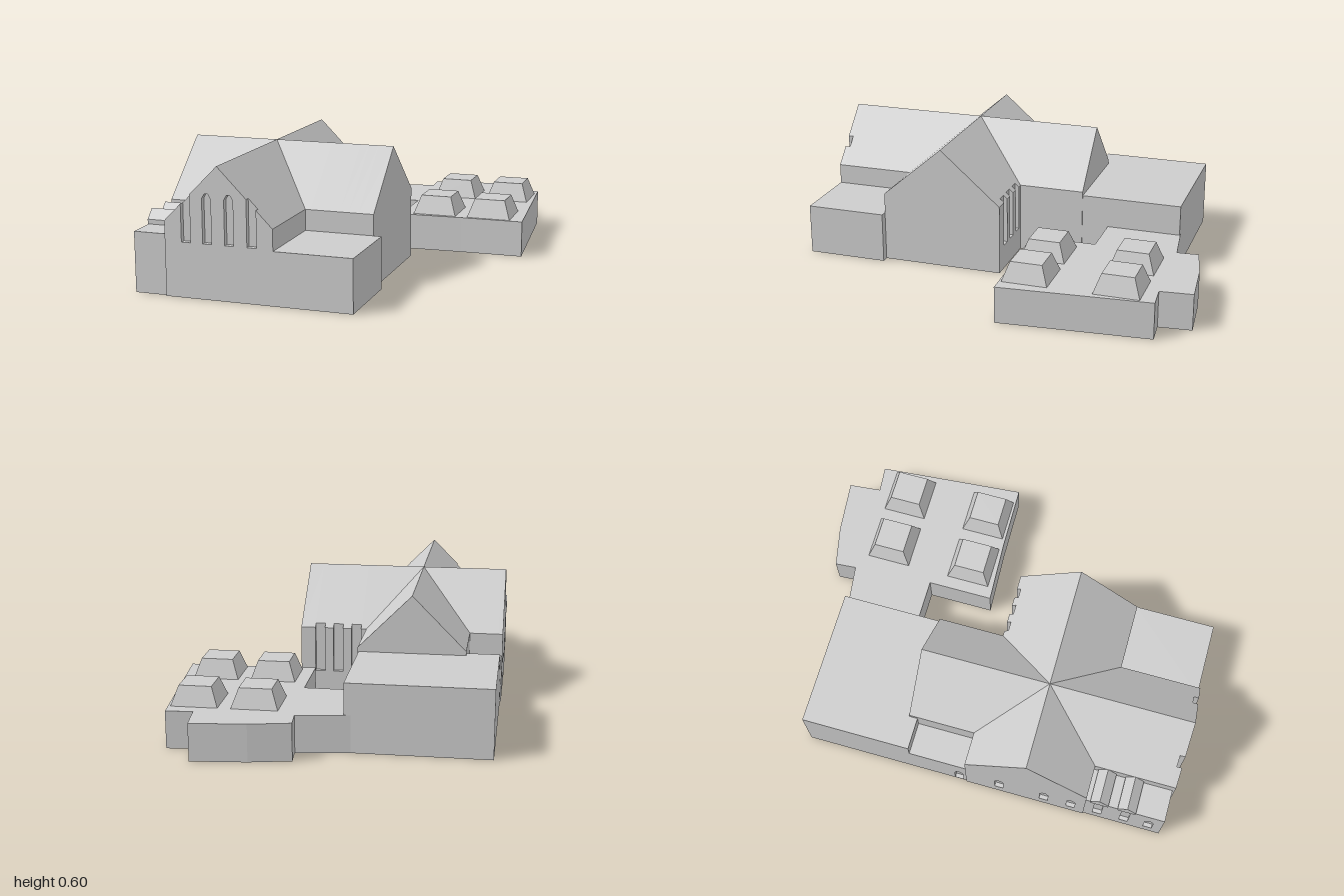
import * as THREE from 'three';

const stone = new THREE.MeshStandardMaterial({ color: 0xcccccc });
stone.name = 'plain stone';

const EAVES = 0.343, RIDGE = 0.6;
const toPoints = (pts) => pts.map(([a, b]) => new THREE.Vector2(a, b));

// Pointed-arch window outline, used as a hole
function windowOutline(center, bottom, top, half = 0.021, tip = 0.022) {
  return toPoints([
    [center - half, bottom], [center + half, bottom], [center + half, top - tip],
    [center + half * 0.4, top], [center - half * 0.4, top], [center - half, top - tip],
  ]);
}

function extrude(outline, holes, depth) {
  const shape = new THREE.Shape(toPoints(outline));
  holes.forEach((h) => shape.holes.push(new THREE.Path(h)));
  return new THREE.ExtrudeGeometry(shape, { depth, bevelEnabled: false });
}

export function createModel() {
  const group = new THREE.Group();
  const add = (name, geometry) => {
    const mesh = new THREE.Mesh(geometry, stone);
    mesh.name = name;
    group.add(mesh);
    return mesh;
  };
  // Outline in (x, y), running from z0 to z1
  const alongZ = (name, outline, z0, z1, holes = []) =>
    add(name, extrude(outline, holes, z1 - z0).translate(0, 0, z0));
  // Outline in (z, y), running from x0 to x1
  const alongX = (name, outline, x0, x1, holes = []) =>
    add(name, extrude(outline, holes, x1 - x0).rotateY(-Math.PI / 2).translate(x1, 0, 0));
  // Footprint in (x, z), rising from the ground
  const upright = (name, footprint, height) =>
    add(name, extrude(footprint.map(([x, z]) => [x, -z]), [], height).rotateX(-Math.PI / 2));
  const box = (name, x0, x1, y0, y1, z0, z1) =>
    add(name, new THREE.BoxGeometry(x1 - x0, y1 - y0, z1 - z0)
      .translate((x0 + x1) / 2, (y0 + y1) / 2, (z0 + z1) / 2));
  const rect = (a0, a1, top) => [[a0, 0], [a1, 0], [a1, top], [a0, top]];
  const gable = (a0, a1) => [[a0, 0], [a1, 0], [a1, EAVES], [(a0 + a1) / 2, RIDGE], [a0, EAVES]];

  // Nave with a thin front wall; the outer windows cut through the roof edge
  const N0 = -0.6, N1 = -0.09, NM = (N0 + N1) / 2;
  const naveRoof = (x) => RIDGE - (RIDGE - EAVES) * Math.abs(x - NM) / (N1 - NM);
  const slot = (x0, x1) => [[x0, naveRoof(x0)], [x0, 0.252], [x1, 0.252], [x1, naveRoof(x1)]];
  alongZ('nave', gable(N0, N1), -0.31, 0.975);
  alongZ('naveFrontWall', [
    [N0, 0], [N1, 0], [N1, EAVES],
    ...slot(-0.21, -0.166).reverse(), [NM, RIDGE], ...slot(-0.52, -0.476).reverse(), [N0, EAVES],
  ], 0.975, 1, [-0.397, -0.293].map((x) => windowOutline(x, 0.252, 0.475)));

  // Transept, with slots cut in the rear wall up through the eaves
  const T0 = 0.012, T1 = 0.608, TM = (T0 + T1) / 2, D = 0.02;
  const full = gable(T0, T1);
  const notched = [
    [T0, 0], [T1, 0], [T1, EAVES], [TM, RIDGE],
    [T0 + D, EAVES + D * (RIDGE - EAVES) / (TM - T0)], [T0 + D, 0.12], [T0, 0.12],
  ];
  let from = -0.74;
  for (const x of [-0.04, 0.05, 0.14]) {
    alongX('transept', full, from, x - 0.024);
    alongX('transeptWindowBay', notched, x - 0.024, x + 0.024);
    from = x + 0.024;
  }
  alongX('transept', full, from, 0.235);
  alongX('transeptSideWall', full, -0.76, -0.74,
    [0.18, 0.405, 0.54].map((z) => windowOutline(z, 0.07, 0.195)));

  // Low side aisles, each with a pierced outer wall
  box('frontAisle', -0.735, N0, 0, 0.28, T1, 0.99);
  alongX('frontAisleWall', rect(T1, 0.99, 0.28), -0.755, -0.735, [
    windowOutline(0.672, 0.07, 0.265), windowOutline(0.805, 0.07, 0.265),
    windowOutline(0.925, 0.07, 0.195),
  ]);
  box('rearAisle', -0.735, N0, 0, 0.235, -0.27, T0);
  alongX('rearAisleWall', rect(-0.27, T0, 0.235), -0.755, -0.735,
    [windowOutline(-0.025, 0.005, 0.13)]);

  // Pair of little gabled dormers on the front aisle
  for (const z of [0.672, 0.805]) {
    alongX('dormer', [
      [z - 0.044, 0.275], [z + 0.044, 0.275], [z + 0.044, 0.302], [z, 0.345], [z - 0.044, 0.302],
    ], -0.76, N0 + 0.01);
  }

  // Flat-roofed blocks
  box('frontBlock', N1, 0.272, 0, 0.245, T1, 1);
  box('rearBlock', -0.755, -0.095, 0, 0.323, -0.8, -0.27);

  // Low hall on an irregular footprint
  upright('rearHall', [
    [-0.14, -0.798], [-0.02, -0.814], [0.118, -0.832], [0.11, -0.935], [0.3, -0.975],
    [0.555, -1], [0.57, -0.845], [0.695, -0.856], [0.755, -0.14], [0.45, -0.136],
    [0.142, -0.122], [0.142, -0.44], [-0.14, -0.44],
  ], 0.175);

  // Four tapered skylights
  for (const x of [0.308, 0.582]) {
    for (const z of [-0.68, -0.258]) {
      const geometry = new THREE.CylinderGeometry(0.075 * Math.SQRT2, 0.107 * Math.SQRT2, 0.09, 4)
        .toNonIndexed().rotateY(Math.PI / 4);
      geometry.computeVertexNormals();
      add('skylight', geometry.translate(x, 0.22, z));
    }
  }
  return group;
}
